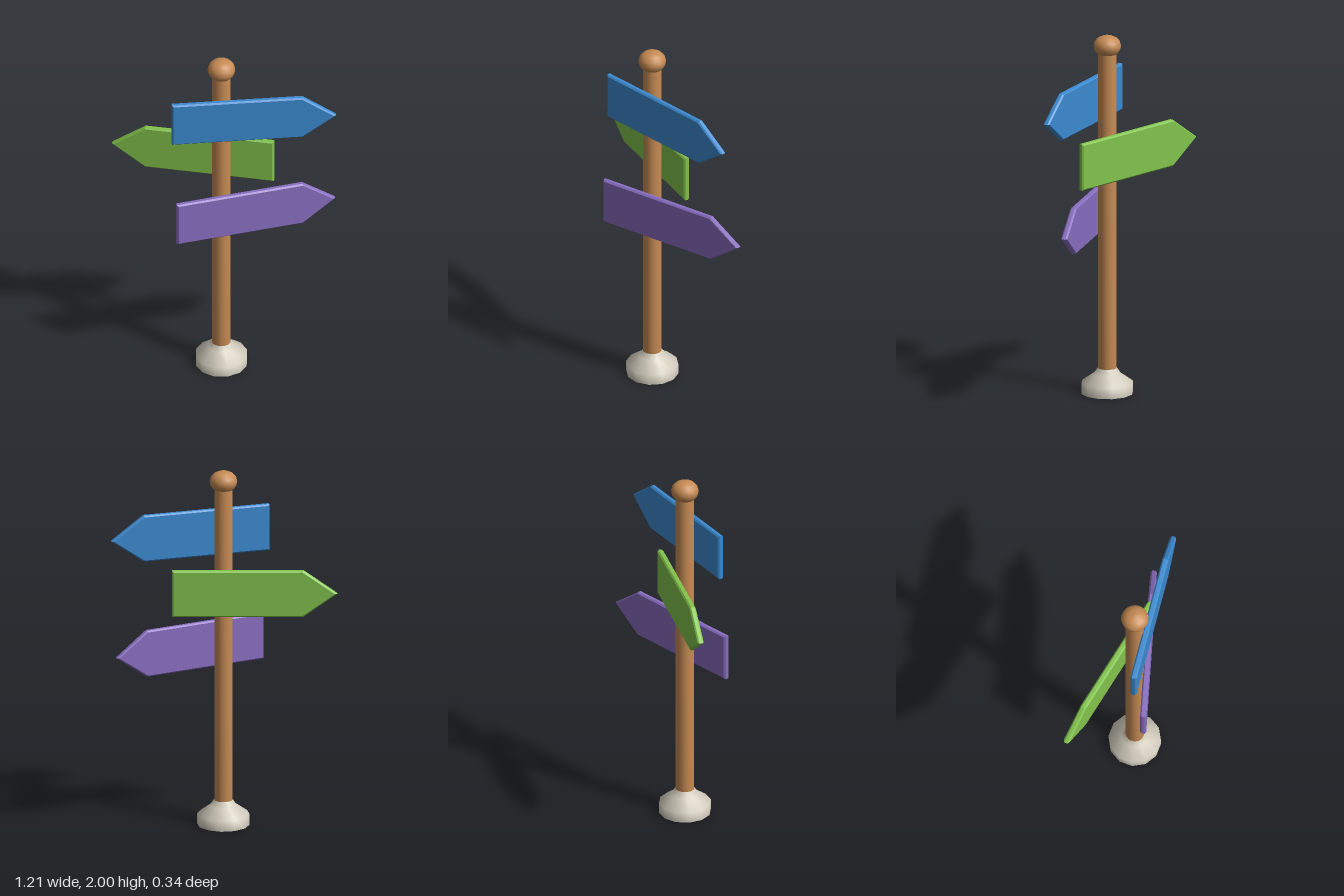
import * as THREE from 'three';

const mat = (name, color, side = THREE.FrontSide) => {
  const m = new THREE.MeshStandardMaterial({ color, side });
  m.name = name;
  return m;
};

const lathe = (points, segments) =>
  new THREE.LatheGeometry(points.map(([r, y]) => new THREE.Vector2(r, y)), segments);

// Arrow board running from tail (x = 0) to tip (x = length), bevelled all round
function boardGeometry() {
  const length = 0.895, half = 0.13, shoulder = 0.71, bevel = 0.008, thick = 0.034;
  const s = new THREE.Shape();
  s.moveTo(bevel, bevel - half);
  s.lineTo(shoulder - 0.003, bevel - half);
  s.lineTo(length - 0.014, 0);
  s.lineTo(shoulder - 0.003, half - bevel);
  s.lineTo(bevel, half - bevel);
  s.closePath();
  const depth = thick - 2 * bevel;
  const geo = new THREE.ExtrudeGeometry(s, {
    depth, bevelEnabled: true, bevelSize: bevel, bevelThickness: bevel, bevelSegments: 1,
  });
  return geo.translate(0, 0, -depth / 2);
}

export function createModel() {
  const root = new THREE.Group();
  root.name = 'signpost';
  const wood = mat('wood brown', 0xc68b54);
  const stone = mat('stone grey', 0xcfc9ba, THREE.DoubleSide);

  const add = (parent, name, geo, material) => {
    const mesh = new THREE.Mesh(geo, material);
    mesh.name = name;
    parent.add(mesh);
    return mesh;
  };

  // Upright: pole, knob and hollow foot share one axis
  const upright = new THREE.Group();
  upright.name = 'upright';
  upright.position.set(-0.015, 0, 0.015);
  root.add(upright);

  // End caps are part of the profile, so the normals roll softly over the ends
  add(upright, 'pole', lathe([[0, 0], [0.05, 0.005], [0.05, 1.92], [0, 1.925]], 16), wood);

  const knob = add(upright, 'knob',
    lathe([[0, 1.9], [0.055, 1.9], [0.07, 1.92], [0.075, 1.943], [0.069, 1.967],
      [0.052, 1.986], [0.028, 1.997], [0, 2]], 20), wood);
  knob.rotation.y = Math.PI / 20;

  const foot = add(upright, 'foot',
    lathe([[0.142, 0], [0.142, 0.06], [0.072, 0.11], [0.052, 0.14]], 12), stone);
  foot.rotation.y = Math.PI / 12;

  // Boards: tail and tip positions in plan, and height of the centre line
  const geo = boardGeometry();
  const boards = [
    ['upperBoard', mat('blue', 0x3b8ad0), 1.642, [-0.282, 0.108], [0.607, 0.002]],
    ['middleBoard', mat('green', 0x82c44c), 1.328, [0.27, -0.002], [-0.61, -0.16]],
    ['lowerBoard', mat('purple', 0x886dc0), 1.014, [-0.256, 0.155], [0.598, -0.11]],
  ];
  for (const [name, material, y, tail, tip] of boards) {
    const board = add(root, name, geo, material);
    board.position.set(tail[0], y, tail[1]);
    board.rotation.y = Math.atan2(tail[1] - tip[1], tip[0] - tail[0]);
  }
  return root;
}
